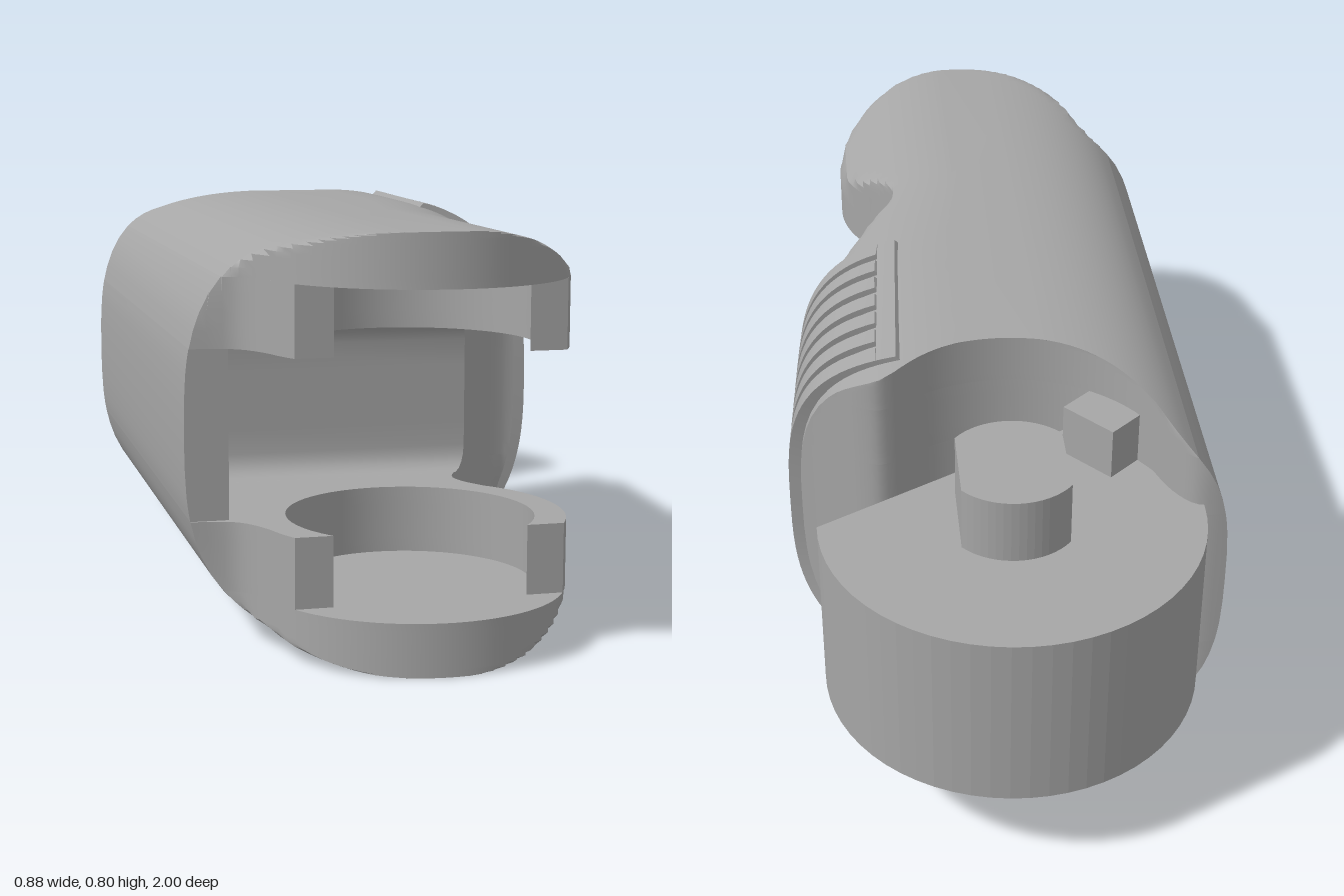
import * as THREE from 'three';
import { toCreasedNormals } from 'three/addons/utils/BufferGeometryUtils.js';

const { clamp, lerp, smoothstep } = THREE.MathUtils;
const MID = 0.41, HALF = 0.402;            // centre height and half height of the shell
const PIVOT = -0.62, FORK = 0.70;          // z of the rear and front joints
const grey = new THREE.MeshStandardMaterial({ color: 0xa6a6a6 });
grey.name = 'plain grey';

// Rounded cross-section: half widths to the left and right
const rightRadius = (z) => lerp(0.415, 0.388, clamp((z + 0.28) / 0.45, 0, 1));
const rightPower = (z) => 3 - 0.7 * smoothstep(z, 0, 0.45);
const width = (y, a, n) => a * Math.pow(Math.max(0, 1 - Math.pow(Math.abs(y - MID) / HALF, n)), 1 / n);
const leftX = (y) => -width(y, 0.435, 3);
const rightX = (y, z) => width(y, rightRadius(z), rightPower(z));

const deg = Math.PI / 180;
function arc(cz, r, from, to, n) {
  return Array.from({ length: n + 1 }, (_, i) => {
    const t = lerp(from, to, i / n) * deg;
    return [r * Math.cos(t), cz + r * Math.sin(t)];
  });
}
function smooth(points, n) {
  const curve = new THREE.SplineCurve(points.map((p) => new THREE.Vector2(...p)));
  return curve.getPoints(n).map((p) => [p.x, p.y]);
}

// Closed skin through a stack of rings, with flat ends
function loft(rings, crease = 0.6) {
  const pos = [];
  const tri = (a, b, c) => {
    const n = b.clone().sub(a).cross(c.clone().sub(a));
    if (n.length() > 1e-9) for (const p of [a, b, c]) pos.push(p.x, p.y, p.z);
  };
  for (let k = 0; k + 1 < rings.length; k++) {
    const lo = rings[k], hi = rings[k + 1];
    lo.forEach((a, i) => {
      const j = (i + 1) % lo.length;
      tri(a, hi[i], hi[j]);
      tri(a, hi[j], lo[j]);
    });
  }
  [[rings[0], -1], [rings[rings.length - 1], 1]].forEach(([ring, up]) => {
    const flat = ring.map((p) => new THREE.Vector2(p.x, p.z));
    for (const [i, j, k] of THREE.ShapeUtils.triangulateShape(flat, [])) {
      const [a, b, c] = [ring[i], ring[j], ring[k]];
      const ny = (b.z - a.z) * (c.x - a.x) - (b.x - a.x) * (c.z - a.z);
      if (ny * up > 0) tri(a, b, c); else tri(a, c, b);
    }
  });
  const g = new THREE.BufferGeometry();
  g.setAttribute('position', new THREE.Float32BufferAttribute(pos, 3));
  return toCreasedNormals(g, crease);
}

// Plan outline pieces as [x, z]
const back = [
  ...smooth([[-0.45, -0.61], [-0.37, -0.61], [-0.325, -0.56], [-0.297, -0.49]], 12),
  ...arc(PIVOT, 0.32, 150, 55, 20),
  ...smooth([[0.215, -0.38], [0.25, -0.391], [0.29, -0.375], [0.34, -0.34], [0.46, -0.26]], 14),
];
const backZ = (x) => {
  let i = 0;
  while (i < back.length - 2 && back[i + 1][0] < x) i++;
  const [p, q] = [back[i], back[i + 1]];
  return lerp(p[1], q[1], clamp((x - p[0]) / (q[0] - p[0]), 0, 1));
};
const side = Array.from({ length: 11 }, (_, i) => [0.46, lerp(-0.25, 0.18, i / 10)]);
const hip = smooth([[0.37, 0.18], [0.32, 0.195], [0.28, 0.235], [0.235, 0.3]], 10);
const waist = smooth([[0.235, 0.3], [0.195, 0.355], [0.18, 0.4], [0.19, 0.445], [0.216, 0.49]], 12).slice(1, -1);
const heel = smooth([[-0.305, 0.745], [-0.33, 0.71], [-0.37, 0.69], [-0.46, 0.68]], 8);

// Full fork plate, recessed fork cheek, and channelled middle
const plateFront = () => [...waist, ...arc(FORK, 0.3, -44, 165, 44), ...heel];
const cheekFront = () => [...waist, ...arc(FORK, 0.3, -44, 30, 16),
  ...arc(FORK, 0.24, 38.7, -218.7, 40), ...arc(FORK, 0.3, 150, 165, 4), ...heel];
const middleFront = (y) => {
  const r = 0.05, d = Math.max(0, Math.abs(y - MID) - (0.165 - r));
  const z = 0.3 + r - Math.sqrt(Math.max(0, r * r - d * d));
  return [[0.235 - 0.67 * (z - 0.3), z], [-0.35, z], [-0.35, 0.68], [-0.46, 0.68]];
};

function layer(front, heights) {
  return loft(heights.map((y) => {
    const xl = leftX(y), xr = rightX(y, -0.3), zr = backZ(xr);
    const rear = back.map(([x]) => {
      const cx = clamp(x, xl, xr);
      return new THREE.Vector3(cx, y, backZ(cx));
    });
    const rest = [...side, ...hip, ...front(y)].map(([x, z]) =>
      new THREE.Vector3(clamp(x, xl, rightX(y, z)), y, x > 0 ? Math.max(z, zr) : z));
    return [...rear, ...rest];
  }));
}

// Curved strip of the grip, u along the body and t up the section in degrees
function gripStrip(u0, u1, t0, t1, steps) {
  const at = (u, t, out) => {
    const s = Math.sin(t * deg), c = Math.cos(t * deg);
    const z = lerp(-0.275, 0.175, u) - lerp(0.075, 0.045, u) * s * s;
    const e = 2 / rightPower(z);
    const a = rightRadius(z) + (out ? 0.026 : -0.012), b = HALF + (out ? 0.008 : -0.012);
    return new THREE.Vector3(a * Math.pow(c, e), MID + b * Math.sign(s) * Math.pow(Math.abs(s), e), z);
  };
  return loft(Array.from({ length: steps + 1 }, (_, i) => {
    const t = lerp(t0, t1, i / steps);
    return [at(u0, t, true), at(u1, t, true), at(u1, t, false), at(u0, t, false)];
  }));
}

// Upright prism from a plan shape (shape y is -z)
function prism(shape, y, depth, curveSegments) {
  const g = new THREE.ExtrudeGeometry(shape, { depth, bevelEnabled: false, curveSegments });
  return g.rotateX(-Math.PI / 2).translate(0, y, 0);
}

export function createModel() {
  const model = new THREE.Group();
  model.name = 'fingerLink';
  const add = (name, geometry, parent = model) => {
    const mesh = new THREE.Mesh(geometry, grey);
    mesh.name = name;
    parent.add(mesh);
    return mesh;
  };
  const flip = (ys) => ys.map((y) => 2 * MID - y).reverse();

  // Shell in five layers
  const plate = Array.from({ length: 17 }, (_, i) => {
    const q = lerp(0.836, 0.2, i / 16);
    return i ? MID + HALF * Math.cbrt(1 - q ** 3) : 0.71;
  });
  const cheek = [0.575, 0.61, 0.645, 0.68, 0.71];
  const middle = [0.245, 0.25, 0.26, 0.275, 0.295, 0.35, 0.41, 0.47, 0.525, 0.545, 0.56, 0.57, 0.575];
  add('upperForkPlate', layer(plateFront, plate));
  add('lowerForkPlate', layer(plateFront, flip(plate)));
  add('upperForkCheek', layer(cheekFront, cheek));
  add('lowerForkCheek', layer(cheekFront, flip(cheek)));
  add('middleShell', layer(middleFront, middle));

  // Rear knuckle and its flatted pin
  const knuckle = new THREE.Shape();
  knuckle.moveTo(0.375, 0.2);
  knuckle.absarc(0, -PIVOT, 0.38, 0, Math.PI);
  knuckle.lineTo(-0.375, 0.2);
  add('knuckle', prism(knuckle, 0.22, 0.38, 16));

  const pin = new THREE.Shape();
  pin.absarc(0, -PIVOT, 0.135, 0.68, Math.PI - 0.68);
  pin.absarc(0, -PIVOT, 0.135, Math.PI + 0.68, 2 * Math.PI - 0.68);
  add('pivotPin', prism(pin, 0.085, 0.65, 8));

  // Stop lug showing above and below the knuckle
  const stop = add('stopLug', new THREE.BoxGeometry(0.13, 0.6, 0.13));
  stop.position.set(-0.215, MID, -0.415);
  stop.rotation.y = -0.84;

  // Ribbed grip pad
  const grip = new THREE.Group();
  grip.name = 'gripPad';
  model.add(grip);
  const gap = 0.05, rib = (1 - 6 * gap) / 7;
  for (let i = 0; i < 7; i++) {
    const u = i * (rib + gap);
    add('gripRib', gripStrip(u, u + rib, -65, 65, 40), grip);
  }
  add('gripUpperBorder', gripStrip(0, 1, 65, 71, 4), grip);
  add('gripLowerBorder', gripStrip(0, 1, -71, -65, 4), grip);
  return model;
}
